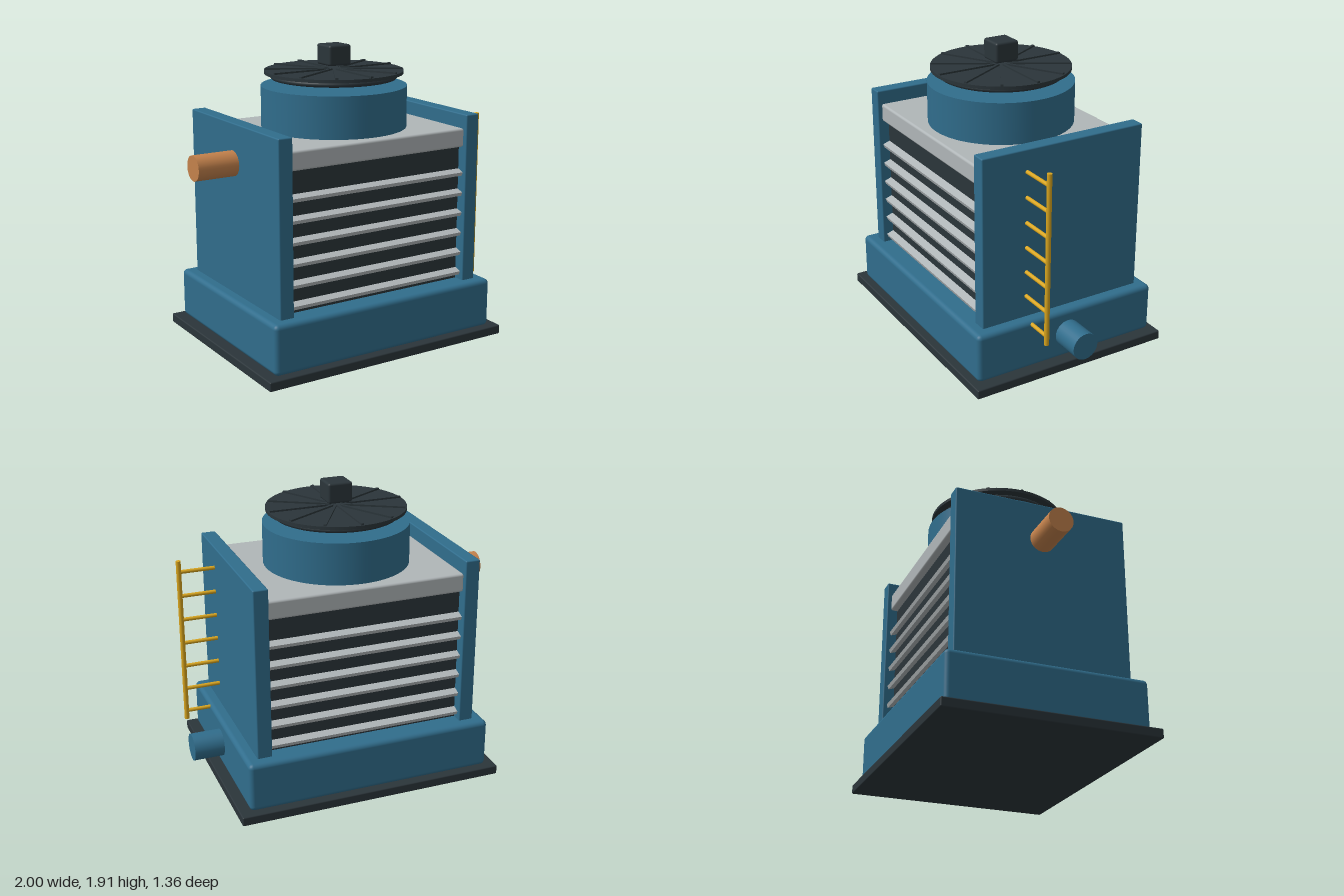
import * as THREE from 'three';
import { RoundedBoxGeometry } from 'three/addons/geometries/RoundedBoxGeometry.js';

const mat = (color) => new THREE.MeshStandardMaterial({ color });

export function createModel() {
  const model = new THREE.Group();
  model.name = 'coolingTower';
  const blue = mat(0x306d8c), dark = mat(0x2b353a), grey = mat(0xb0b6b8);
  const yellow = mat(0xd9a51e), copper = mat(0xc4824c);

  const add = (name, geometry, material, x = 0, y = 0, z = 0, parent = model) => {
    const mesh = new THREE.Mesh(geometry, material);
    mesh.name = name;
    mesh.position.set(x, y, z);
    parent.add(mesh);
    return mesh;
  };
  // Rounded box given by its size and the height of its underside
  const block = (name, w, h, d, r, material, x, bottom, z = 0) =>
    add(name, new RoundedBoxGeometry(w, h, d, 3, r), material, x, bottom + h / 2, z);
  // Cylinder lying along x from x0 to x1
  const rod = (name, r, x0, x1, y, z, material, parent = model) => {
    const mesh = add(name, new THREE.CylinderGeometry(r, r, x1 - x0, 32), material, (x0 + x1) / 2, y, z, parent);
    mesh.rotation.z = Math.PI / 2;
    return mesh;
  };

  // Base and basin
  block('basePlate', 1.74, 0.06, 1.36, 0.008, dark, 0, 0);
  block('basin', 1.61, 0.32, 1.275, 0.03, blue, 0, 0.06);

  // Body: dark core, side walls and roof
  add('fillCore', new THREE.BoxGeometry(1.28, 0.96, 0.98), dark, 0, 0.83, 0);
  for (const side of [-1, 1]) {
    block(side < 0 ? 'rightWall' : 'leftWall', 0.095, 1.115, 1.126, 0.008, blue, side * 0.682, 0.36);
  }
  block('roof', 1.28, 0.12, 1.07, 0.015, grey, 0, 1.265);

  // Sloping louvres, front and back
  const louvres = new THREE.Group();
  louvres.name = 'louvres';
  model.add(louvres);
  const slat = new THREE.BoxGeometry(1.27, 0.025, 0.08);
  for (const side of [-1, 1]) {
    for (let i = 0; i < 6; i++) {
      const mesh = add('louvre', slat, grey, 0, 0.437 + i * 0.133, side * 0.495, louvres);
      mesh.rotation.x = side * 0.35;
    }
  }

  // Fan shroud
  add('fanShroud', new THREE.CylinderGeometry(0.465, 0.465, 0.265, 64), blue, 0, 1.5175, 0);

  // Fan guard: rounded ring below, plate above, radial ribs on top
  const guard = new THREE.Group();
  guard.name = 'fanGuard';
  model.add(guard);
  const ring = add('guardRing', new THREE.TorusGeometry(0.387, 0.017, 12, 64), dark, 0, 1.707, 0, guard);
  ring.rotation.x = Math.PI / 2;
  add('guardDisc', new THREE.CylinderGeometry(0.39, 0.39, 0.025, 64), dark, 0, 1.715, 0, guard);
  add('guardPlate', new THREE.CylinderGeometry(0.443, 0.443, 0.02, 64), dark, 0, 1.735, 0, guard);
  const rib = new THREE.BoxGeometry(0.435, 0.022, 0.018).translate(0.2175, 0, 0);
  for (let i = 0; i < 12; i++) {
    add('guardRib', rib, dark, 0, 1.745, 0, guard).rotation.y = (i * Math.PI) / 6;
  }
  block('motor', 0.16, 0.13, 0.16, 0.015, dark, 0, 1.777);

  // Pipes
  rod('inletPipe', 0.08, -1, -0.7, 1.225, 0, copper);
  rod('outletPipe', 0.088, 0.78, 1, 0.223, 0, blue);

  // Ladder: one upright with rungs fixed to the wall
  const ladder = new THREE.Group();
  ladder.name = 'ladder';
  model.add(ladder);
  add('ladderRail', new THREE.CylinderGeometry(0.016, 0.016, 1.11, 16), yellow, 0.962, 0.855, 0.26, ladder);
  for (let i = 0; i < 7; i++) {
    rod('ladderRung', 0.0125, 0.72, 0.962, 0.357 + i * 0.163, 0.26, yellow, ladder);
  }
  return model;
}
